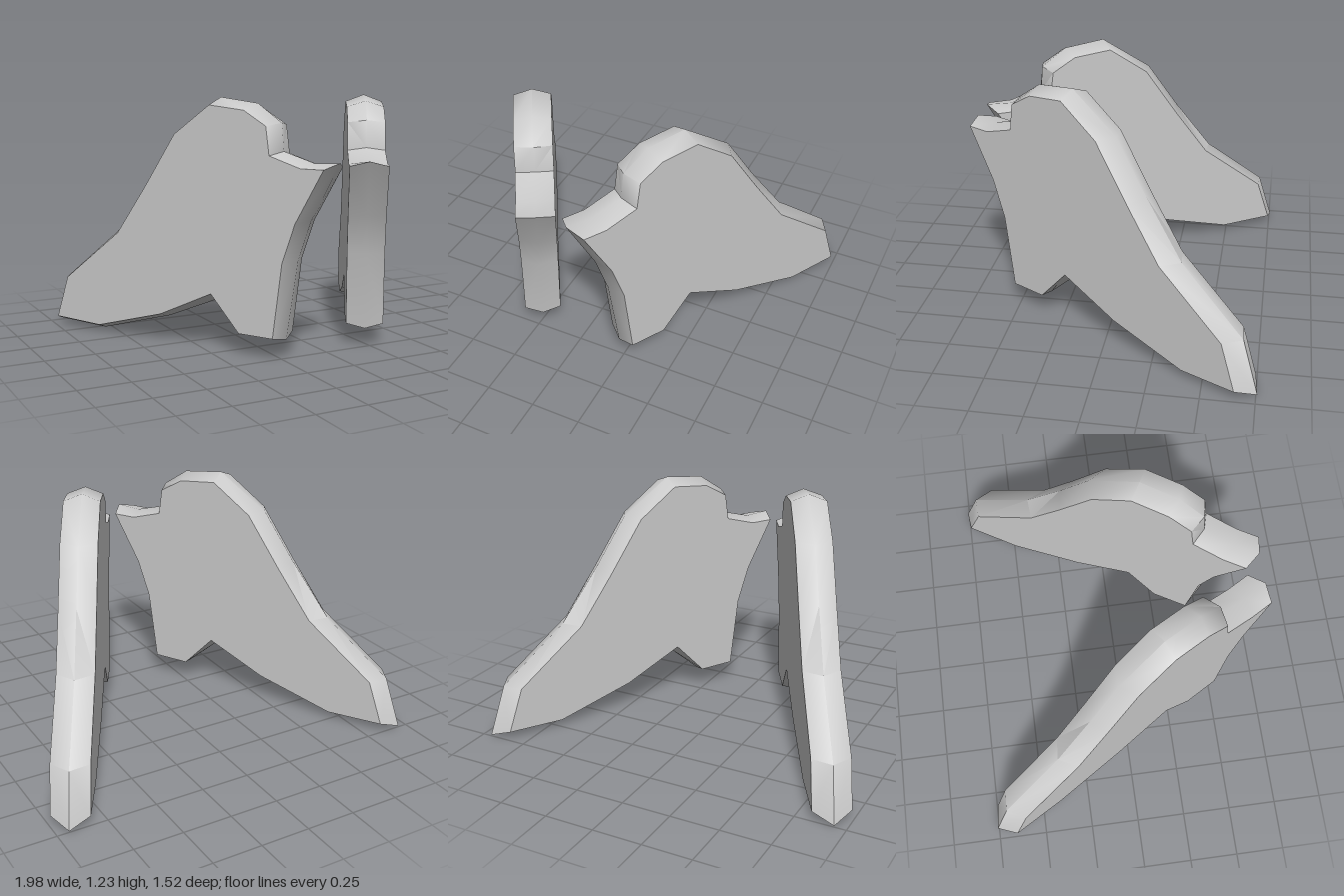
import * as THREE from 'three';
import { toCreasedNormals } from 'three/addons/utils/BufferGeometryUtils.js';

const HALF = 0.092; // half thickness of a plate

// Plate outline, from the nose over the top to the tail and back underneath.
// Each row: flat face point (z, y), then the matching mid-thickness ridge point (z, y).
const OUTLINE = [
  [0.712, 0.925, 0.742, 0.95],  // nose
  [0.607, 0.925, 0.63, 0.942],
  [0.464, 0.975, 0.485, 0.99],  // step
  [0.449, 1.11, 0.475, 1.122],
  [0.344, 1.18, 0.362, 1.21],   // crown
  [0.174, 1.2, 0.18, 1.235],
  [-0.006, 1.055, -0.05, 1.057],
  [-0.166, 0.79, -0.2, 0.81],   // back slope
  [-0.326, 0.54, -0.38, 0.54],
  [-0.631, 0.272, -0.682, 0.27],
  [-0.698, 0.05, -0.757, 0.015], // tail
  [-0.446, 0.04, -0.478, 0.004],
  [-0.096, 0.15, -0.1, 0.125],
  [0.174, 0.29, 0.172, 0.253],  // underside notch
  [0.314, 0.115, 0.33, 0.09],   // foot
  [0.479, 0.115, 0.497, 0.095],
  [0.524, 0.48, 0.552, 0.48],   // front edge
  [0.584, 0.67, 0.612, 0.675],
];

function plateGeometry(side) {
  const n = OUTLINE.length;
  const positions = [];
  const index = [];

  // plates stand at 30 degrees to the z axis
  const addRing = (column, t) => OUTLINE.forEach((row) => {
    const p = row[column];
    positions.push(side * (0.508 - 0.577 * p + 0.866 * t), row[column + 1], p + 0.5 * t);
  });
  addRing(0, HALF);  // outer face
  addRing(2, 0);     // ridge
  addRing(0, -HALF); // inner face

  const addTriangle = (a, b, c) => (side > 0 ? index.push(a, b, c) : index.push(a, c, b));

  // bevelled rim: outer face to ridge, ridge to inner face
  for (let ring = 0; ring < 2; ring++) {
    for (let i = 0; i < n; i++) {
      const a = ring * n + i;
      const b = ring * n + ((i + 1) % n);
      addTriangle(a, b, b + n);
      addTriangle(a, b + n, a + n);
    }
  }

  // flat faces
  const contour = OUTLINE.map((row) => new THREE.Vector2(row[0], row[1]));
  for (const [a, b, c] of THREE.ShapeUtils.triangulateShape(contour, [])) {
    addTriangle(a, c, b);
    addTriangle(a + 2 * n, b + 2 * n, c + 2 * n);
  }

  const geometry = new THREE.BufferGeometry();
  geometry.setAttribute('position', new THREE.Float32BufferAttribute(positions, 3));
  geometry.setIndex(index);
  return toCreasedNormals(geometry, THREE.MathUtils.degToRad(52));
}

export function createModel() {
  const group = new THREE.Group();
  const material = new THREE.MeshStandardMaterial({ color: 0xcccccc });
  for (const [name, side] of [['leftPlate', 1], ['rightPlate', -1]]) {
    const plate = new THREE.Mesh(plateGeometry(side), material);
    plate.name = name;
    group.add(plate);
  }
  return group;
}
